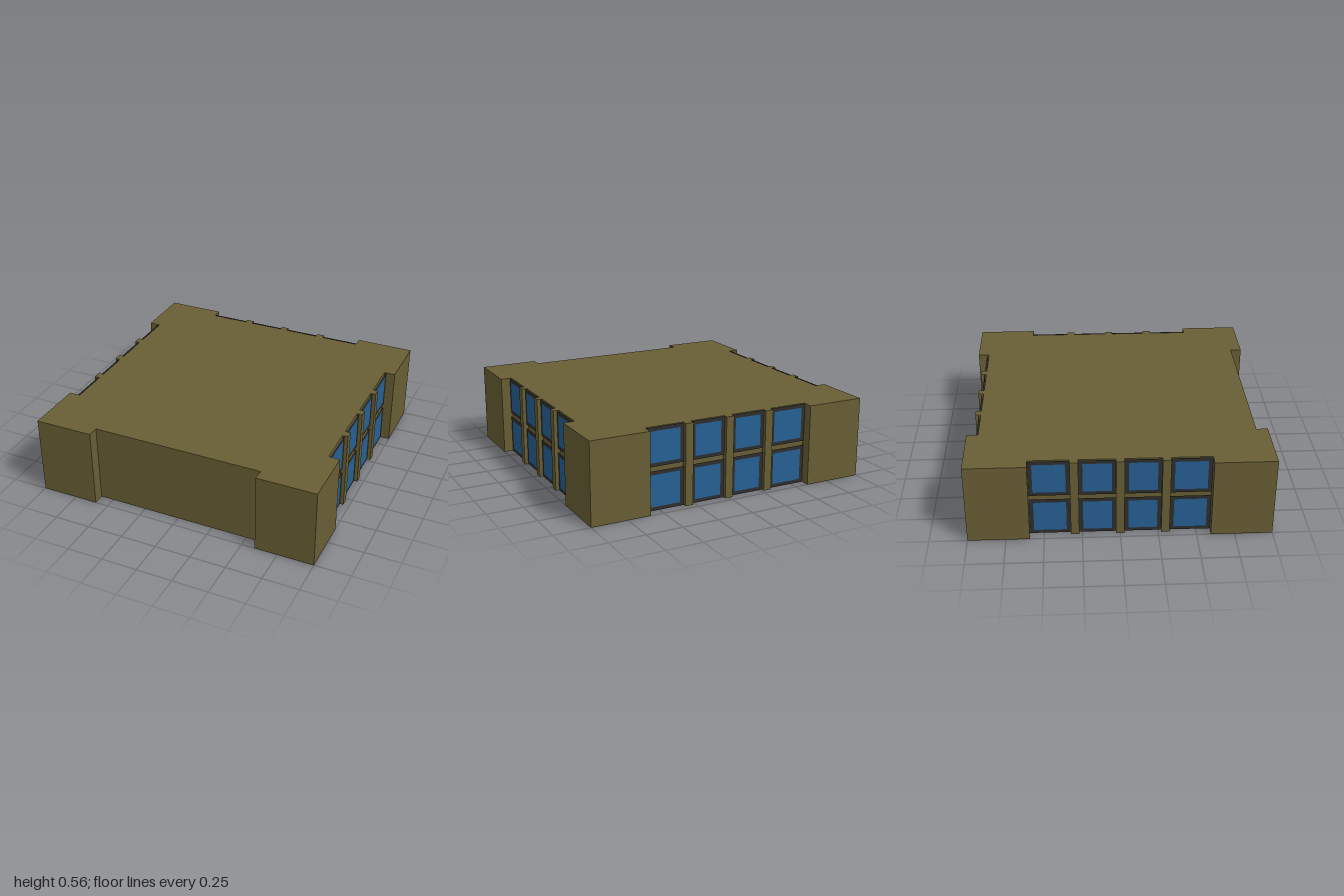
import * as THREE from 'three';

const H = 0.555; // overall height
const WALL = 0.923; // recessed wall distance from centre
const NOTCH = 0.593; // half width of each recess

const olive = new THREE.MeshStandardMaterial({ color: 0x685e34 });
const dark = new THREE.MeshStandardMaterial({ color: 0x2d2d2d, side: THREE.DoubleSide });
const blue = new THREE.MeshStandardMaterial({ color: 0x266094 });

function add(parent, name, geometry, material, x = 0, y = 0, z = 0) {
  const mesh = new THREE.Mesh(geometry, material);
  mesh.name = name;
  mesh.position.set(x, y, z);
  parent.add(mesh);
  return mesh;
}

// Square plan with four projecting corner blocks
function bodyGeometry() {
  const shape = new THREE.Shape();
  const corner = [[WALL, -NOTCH], [WALL, NOTCH], [1, NOTCH], [1, 1], [NOTCH, 1], [NOTCH, WALL]];
  const points = [];
  for (let i = 0; i < 4; i++) {
    for (const [x, y] of corner.slice(1)) {
      points.push(new THREE.Vector2(x, y).rotateAround(new THREE.Vector2(), i * Math.PI / 2));
    }
  }
  shape.setFromPoints(points);
  const geometry = new THREE.ExtrudeGeometry(shape, { depth: H, bevelEnabled: false });
  return geometry.rotateX(-Math.PI / 2);
}

// One window wall, facing +z before it is turned into place
function windowWall(name) {
  const wall = new THREE.Group();
  wall.name = name;
  const half = 0.0275;
  const posts = [-0.297, 0, 0.297];
  for (const x of posts) {
    add(wall, 'mullion', new THREE.BoxGeometry(half * 2, H, 0.96 - WALL), olive, x, H / 2, (0.96 + WALL) / 2);
  }
  const columns = [[-NOTCH, -0.3245], [-0.2695, -half], [half, 0.2695], [0.3245, NOTCH]];
  const rows = [[0, 0.266], [0.295, H]];
  for (const [x0, x1] of columns) {
    for (const [y0, y1] of rows) {
      const w = x1 - x0, h = y1 - y0, x = (x0 + x1) / 2, y = (y0 + y1) / 2;
      // Thin frame standing just clear of the wall, pane on its face
      add(wall, 'windowFrame', new THREE.PlaneGeometry(w, h), dark, x, y, WALL + 0.012);
      add(wall, 'windowPane', new THREE.PlaneGeometry(w - 0.054, h - 0.05), blue, x, y, WALL + 0.014);
    }
  }
  return wall;
}

export function createModel() {
  const model = new THREE.Group();
  model.name = 'buildingFloor';
  add(model, 'body', bodyGeometry(), olive);

  // Windows on left, right and back; the front stays blank
  const sides = { leftWindows: Math.PI / 2, backWindows: Math.PI, rightWindows: -Math.PI / 2 };
  for (const [name, angle] of Object.entries(sides)) {
    const wall = windowWall(name);
    wall.rotation.y = angle;
    model.add(wall);
  }
  return model;
}
